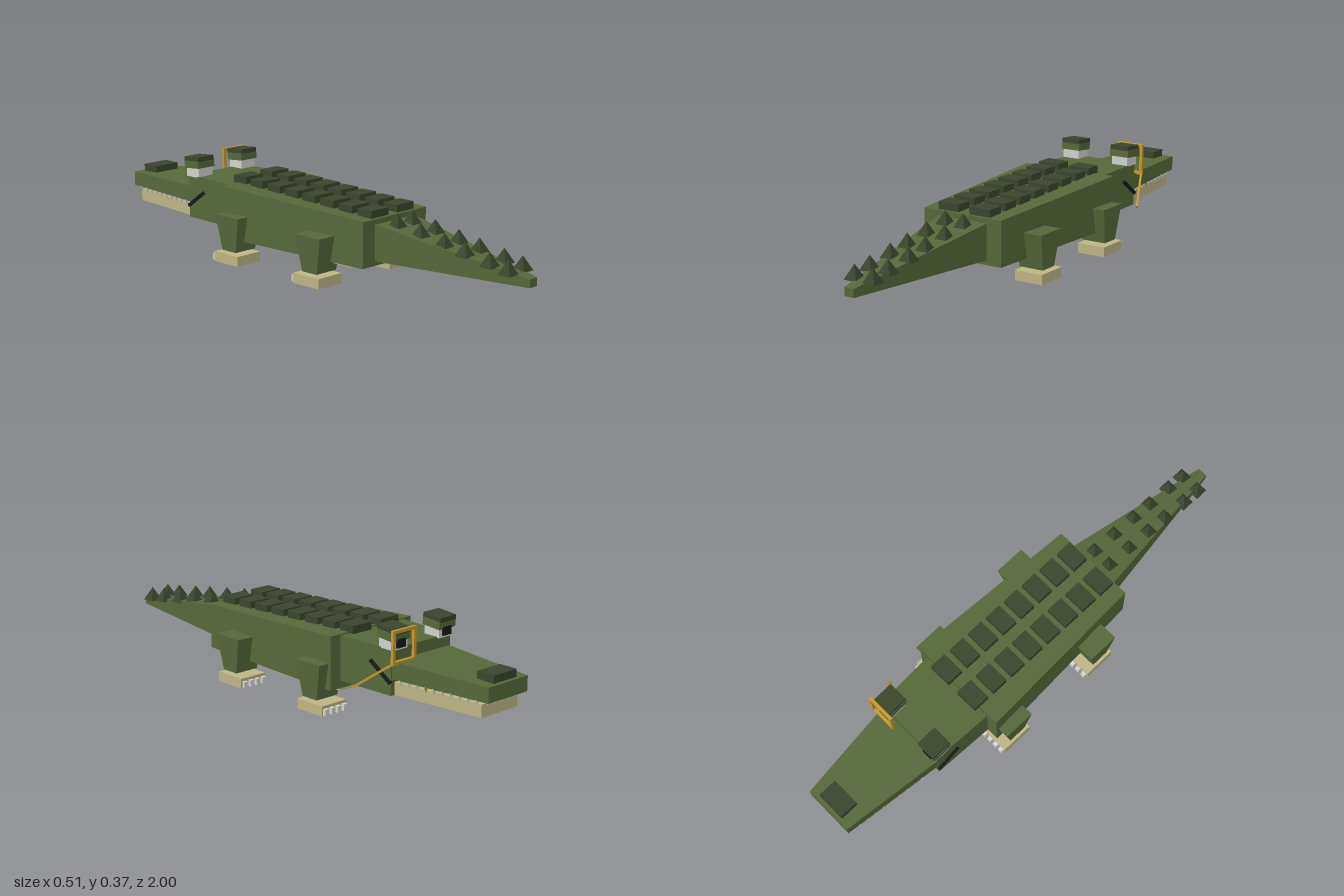
import * as THREE from 'three';

export function createModel() {
  const root = new THREE.Group();
  root.name = 'crocodile';
  const mat = (name, color) => {
    const m = new THREE.MeshStandardMaterial({ color });
    m.name = name;
    return m;
  };
  const green = mat('skin green', 0x56683a);
  const dark = mat('scale dark green', 0x3a452d);
  const tan = mat('belly tan', 0xbdb585);
  const white = mat('tooth white', 0xd2d2ce);
  const black = mat('pupil black', 0x181818);
  const gold = mat('gold', 0xc99a2a);

  const add = (name, geo, material, parent = root) => {
    const m = new THREE.Mesh(geo, material);
    m.name = name;
    parent.add(m);
    return m;
  };
  // Box given by its bounds
  const box = (name, material, x0, x1, y0, y1, z0, z1, parent = root) => {
    const m = add(name, new THREE.BoxGeometry(x1 - x0, y1 - y0, z1 - z0), material, parent);
    m.position.set((x0 + x1) / 2, (y0 + y1) / 2, (z0 + z1) / 2);
    return m;
  };
  // Box whose end sections differ: each end is [half width, bottom, top] at z
  const loft = (name, material, zBack, back, zFront, front) => {
    const g = new THREE.BoxGeometry(1, 1, 1);
    const p = g.attributes.position;
    for (let i = 0; i < p.count; i++) {
      const isBack = p.getZ(i) > 0;
      const s = isBack ? back : front;
      p.setXYZ(i, p.getX(i) * 2 * s[0], p.getY(i) > 0 ? s[2] : s[1], isBack ? zBack : zFront);
    }
    g.computeVertexNormals();
    return add(name, g, material);
  };
  // Box whose top and bottom differ: each end is [x0, x1, z0, z1]
  const post = (name, material, y0, bottom, y1, top) => {
    const g = new THREE.BoxGeometry(1, 1, 1);
    const p = g.attributes.position;
    for (let i = 0; i < p.count; i++) {
      const up = p.getY(i) > 0;
      const s = up ? top : bottom;
      p.setXYZ(i, p.getX(i) > 0 ? s[1] : s[0], up ? y1 : y0, p.getZ(i) > 0 ? s[3] : s[2]);
    }
    g.computeVertexNormals();
    return add(name, g, material);
  };
  // Thin square bar between two points
  const bar = (name, material, a, b, t) => {
    const va = new THREE.Vector3(...a), vb = new THREE.Vector3(...b);
    const m = add(name, new THREE.BoxGeometry(t, t, va.distanceTo(vb)), material);
    m.position.copy(va).lerp(vb, 0.5);
    m.lookAt(vb);
    return m;
  };

  // Trunk, tail and head
  loft('body', green, 0.37, [0.172, 0.088, 0.262], -0.345, [0.204, 0.088, 0.292]);
  box('bellyPlate', tan, -0.16, 0.16, 0.079, 0.089, -0.345, 0.31);
  loft('tail', green, 1, [0.02, 0.112, 0.143], 0.37, [0.108, 0.105, 0.242]);
  loft('head', green, -0.35, [0.16, 0.119, 0.289], -0.595, [0.15, 0.119, 0.289]);
  loft('snout', green, -0.595, [0.146, 0.18, 0.245], -1, [0.1, 0.18, 0.237]);
  loft('lowerJaw', tan, -0.595, [0.132, 0.119, 0.167], -0.965, [0.092, 0.119, 0.167]);
  box('noseScale', dark, -0.058, 0.058, 0.234, 0.266, -0.985, -0.91);

  // Back scales follow the slope of the back
  for (let i = 0; i < 8; i++) {
    const z = -0.335 + i * 0.0942;
    const y = 0.262 + ((0.37 - z) / 0.715) * 0.03;
    for (const s of [-1, 1]) {
      box('backScale', dark, s * 0.07 - 0.046, s * 0.07 + 0.046, y - 0.004, y + 0.027, z - 0.034, z + 0.034);
    }
  }

  // Tail spikes
  for (const z of [0.418, 0.528, 0.638, 0.732, 0.842, 0.922]) {
    const y = 0.242 - ((z - 0.37) / 0.63) * 0.099;
    for (const s of [-1, 1]) {
      const spike = new THREE.ConeGeometry(0.038, 0.054, 4, 1).rotateY(Math.PI / 4).toNonIndexed();
      spike.computeVertexNormals();
      add('tailSpike', spike, dark).position.set(s * 0.04, y + 0.02, z);
    }
  }

  // Legs, feet and claws
  for (const s of [-1, 1]) {
    for (const [leg, zc, xc] of [['rear', 0.171, 0.193], ['front', -0.27, 0.186]]) {
      const x = s * xc;
      post(leg + 'Leg', green, 0.05, [x - 0.051, x + 0.051, zc - 0.037, zc + 0.037],
        0.189, [x - 0.062, x + 0.062, zc - 0.064, zc + 0.064]);
      box(leg + 'Foot', tan, x - 0.06, x + 0.06, 0, 0.039, zc - 0.075, zc + 0.056);
      for (let i = 0; i < 4; i++) {
        const cx = x - 0.045 + i * 0.03;
        box('claw', white, cx - 0.009, cx + 0.009, 0.003, 0.028, zc - 0.089, zc - 0.074);
      }
    }
  }

  // Teeth along both sides and the tip of the mouth
  const tooth = (x, z, material) => {
    const g = new THREE.ConeGeometry(0.011, 0.024, 4, 1).rotateX(Math.PI).toNonIndexed();
    g.computeVertexNormals();
    add('tooth', g, material).position.set(x, 0.17, z);
  };
  for (const s of [-1, 1]) {
    for (let i = 0; i < 10; i++) {
      const z = -0.63 - i * 0.0355;
      tooth(s * (0.138 + (z + 0.595) * 0.113), z, s > 0 && i === 3 ? gold : white);
    }
  }
  for (let i = 0; i < 5; i++) tooth(-0.07 + i * 0.035, -0.972, white);

  // Eyes with lids, brows and pupils, and the mouth corners
  for (const s of [-1, 1]) {
    const eye = new THREE.Group();
    eye.name = 'eye';
    eye.position.x = s * 0.116;
    root.add(eye);
    box('eyeWhite', white, -0.036, 0.036, 0.285, 0.335, -0.605, -0.535, eye);
    box('pupil', black, -0.021, 0.021, 0.293, 0.326, -0.612, -0.604, eye);
    box('eyelid', green, -0.042, 0.042, 0.321, 0.35, -0.612, -0.53, eye).rotation.x = -0.08;
    box('brow', dark, -0.04, 0.04, 0.348, 0.366, -0.615, -0.53, eye).rotation.x = -0.08;
    bar('mouthCorner', black, [s * 0.157, 0.232, -0.5], [s * 0.152, 0.166, -0.595], 0.012);
  }

  // Square eyeglass with its chain
  const f = { x0: 0.057, x1: 0.173, y0: 0.24, y1: 0.365, z0: -0.626, z1: -0.615, t: 0.012 };
  for (const [a, b, c, d] of [
    [f.x0, f.x1, f.y1 - f.t, f.y1], [f.x0, f.x1, f.y0, f.y0 + f.t],
    [f.x0, f.x0 + f.t, f.y0 + f.t, f.y1 - f.t], [f.x1 - f.t, f.x1, f.y0 + f.t, f.y1 - f.t],
  ]) box('eyeglassFrame', gold, a, b, c, d, f.z0, f.z1);
  bar('eyeglassChain', gold, [0.168, 0.245, -0.62], [0.23, 0.142, -0.485], 0.008);

  return root;
}
